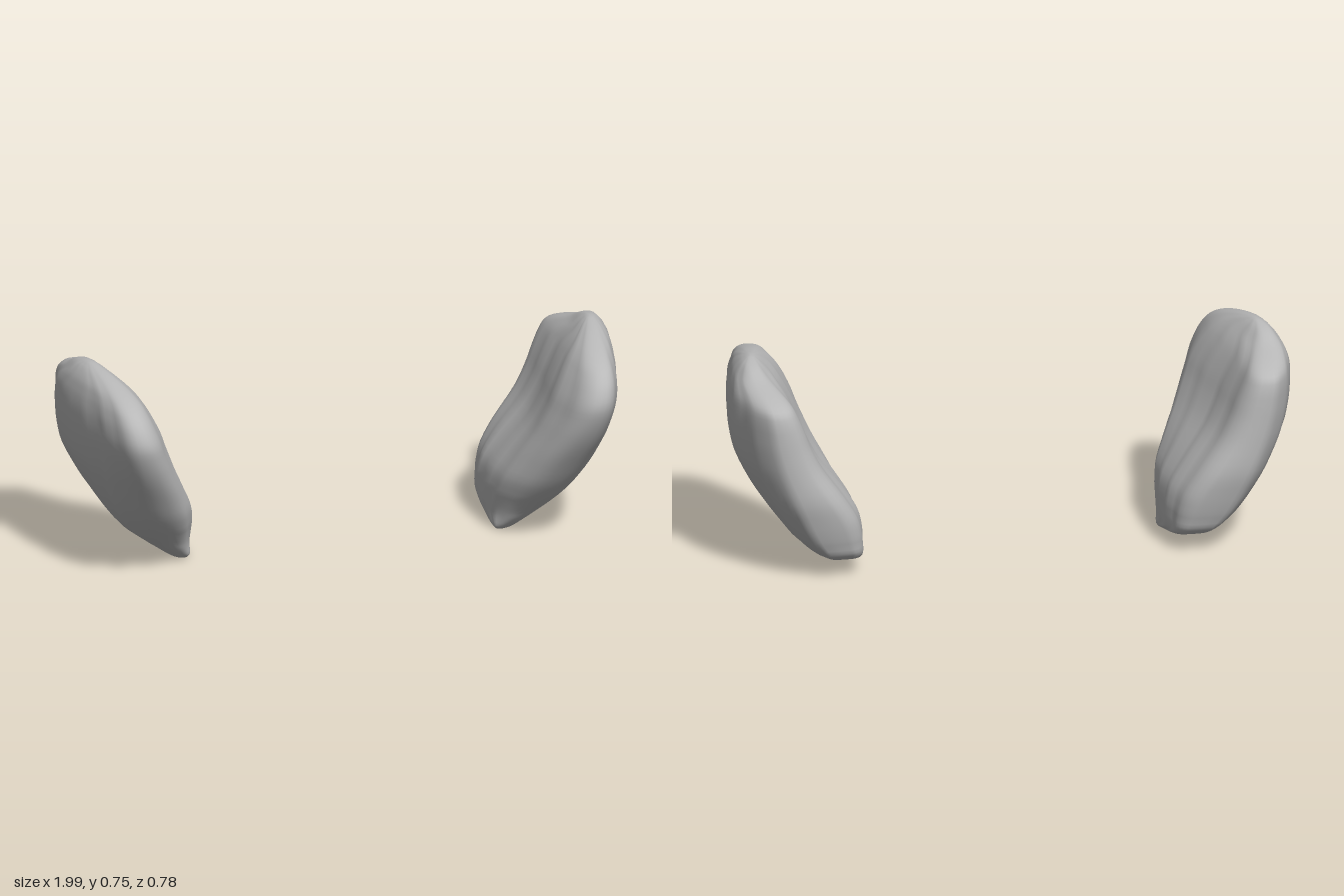
import * as THREE from 'three';

// Horizontal sections, bottom to top: [y, zFront, zBack, xInner, xOuter]
const SECTIONS = [
  [0, 0.0, -0.03, 0.558, 0.595],
  [0.015, 0.025, -0.09, 0.548, 0.63],
  [0.05, 0.06, -0.27, 0.543, 0.69],
  [0.08, 0.085, -0.327, 0.54, 0.735],
  [0.12, 0.123, -0.345, 0.54, 0.783],
  [0.16, 0.162, -0.358, 0.543, 0.817],
  [0.22, 0.212, -0.373, 0.56, 0.862],
  [0.3, 0.267, -0.388, 0.612, 0.917],
  [0.4, 0.332, -0.388, 0.687, 0.972],
  [0.48, 0.372, -0.387, 0.73, 0.993],
  [0.545, 0.39, -0.386, 0.757, 1.0],
  [0.6, 0.376, -0.382, 0.783, 1.0],
  [0.64, 0.345, -0.365, 0.805, 0.995],
  [0.67, 0.3, -0.3, 0.825, 0.987],
  [0.7, 0.22, -0.2, 0.85, 0.975],
  [0.73, 0.1, -0.13, 0.88, 0.952],
  [0.746, 0.0, -0.06, 0.903, 0.928],
];
const ROWS = 48, SIDES = 48;

const curve = (pick) => new THREE.CatmullRomCurve3(
  SECTIONS.map((s) => new THREE.Vector3(...pick(s))), false, 'catmullrom', 0.5);
const depthCurve = curve((s) => [s[0], s[1], s[2]]);
const widthCurve = curve((s) => [s[3], s[4], 0]);

// Signed power, for rounded-box shaped sections
const spow = (v, p) => Math.sign(v) * Math.abs(v) ** p;
const { smoothstep, lerp } = THREE.MathUtils;

// Curved pad lofted through the sections, with shallow lengthwise grooves
function padGeometry(side) {
  const pos = [], idx = [];
  for (let i = 0; i <= ROWS; i++) {
    const t = i / ROWS;
    const { x: y, y: zf, z: zb } = depthCurve.getPoint(t);
    const { x: xi, y: xo } = widthCurve.getPoint(t);
    const half = (xo - xi) / 2;
    const upper = smoothstep(y, 0.15, 0.45);
    for (let j = 0; j < SIDES; j++) {
      const a = (j / SIDES) * Math.PI * 2;
      const s = spow(Math.cos(a), 0.85);
      // blunt towards the lower back, rounder above and in front
      const w = spow(Math.sin(a), s < 0 ? lerp(0.5, 0.72, upper) : 0.88);
      const z = (zf + zb) / 2 + s * (zf - zb) / 2;
      // the front edge curls inwards, the back edge a little
      const curl = upper * (0.055 * smoothstep(z, -0.15, 0.27) + 0.025 * smoothstep(-z, 0.15, 0.38));
      // grooves run along the broad faces and fade at the ends
      const wave = w < 0 ? Math.sin(14 * s + 2 * t) : Math.sin(18 * s + 3 * t + 1);
      const groove = (w < 0 ? 0.007 : 0.005) * (0.6 - wave) * Math.sin(Math.PI * t) * w;
      pos.push(side * ((xi + xo) / 2 + w * half - curl - groove), y, z);
    }
  }
  const tri = (a, b, c) => (side > 0 ? idx.push(a, b, c) : idx.push(a, c, b));
  for (let i = 0; i < ROWS; i++) {
    for (let j = 0; j < SIDES; j++) {
      const k = (j + 1) % SIDES, r = i * SIDES, u = r + SIDES;
      tri(r + j, r + k, u + k);
      tri(r + j, u + k, u + j);
    }
  }
  // close the bottom and the top at the middle of their rims
  const bottom = pos.length / 3, top = bottom + 1, rim = ROWS * SIDES;
  for (const r of [0, rim]) {
    const p = r * 3, q = (r + SIDES / 2) * 3;
    pos.push((pos[p] + pos[q]) / 2, pos[p + 1] + (r ? 0.002 : 0), (pos[p + 2] + pos[q + 2]) / 2);
  }
  for (let j = 0; j < SIDES; j++) {
    const k = (j + 1) % SIDES;
    tri(bottom, k, j);
    tri(top, rim + j, rim + k);
  }
  const g = new THREE.BufferGeometry();
  g.setAttribute('position', new THREE.Float32BufferAttribute(pos, 3));
  g.setIndex(idx);
  g.computeVertexNormals();
  return g;
}

export function createModel() {
  const group = new THREE.Group();
  group.name = 'shoulderPads';
  const grey = new THREE.MeshStandardMaterial({ color: 0xb8b8b8 });
  grey.name = 'grey';
  for (const [name, side] of [['leftPad', 1], ['rightPad', -1]]) {
    const pad = new THREE.Mesh(padGeometry(side), grey);
    pad.name = name;
    group.add(pad);
  }
  return group;
}
